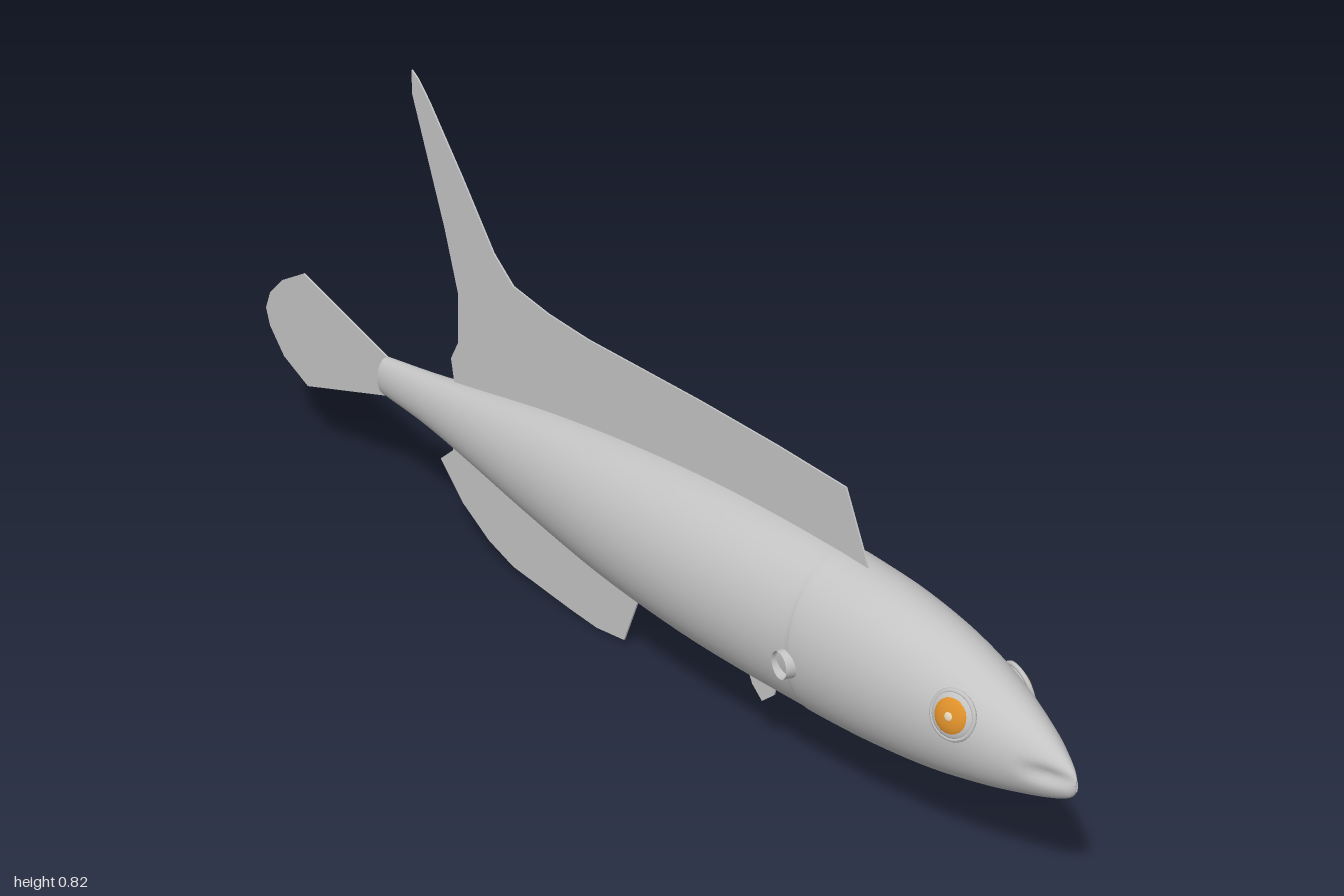
import * as THREE from 'three';

const grey = new THREE.MeshStandardMaterial({ color: 0xc4c4c4, side: THREE.DoubleSide });
grey.name = 'body grey';
const amber = new THREE.MeshStandardMaterial({ color: 0xe0912a });
amber.name = 'iris amber';
const pale = new THREE.MeshStandardMaterial({ color: 0xf0e0c0 });
pale.name = 'pupil pale';

// Body stations: x, top y, bottom y, half width
const STATIONS = [
  [-0.645, 0.278, 0.208, 0.02], [-0.52, 0.294, 0.199, 0.031], [-0.4, 0.313, 0.183, 0.045],
  [-0.2, 0.346, 0.152, 0.071], [0, 0.369, 0.127, 0.094], [0.2, 0.383, 0.114, 0.107],
  [0.36, 0.386, 0.111, 0.108], [0.48, 0.384, 0.111, 0.103], [0.51, 0.383, 0.111, 0.105],
  [0.62, 0.375, 0.116, 0.1], [0.74, 0.354, 0.128, 0.087], [0.84, 0.321, 0.147, 0.068],
  [0.92, 0.284, 0.167, 0.043], [0.965, 0.257, 0.181, 0.025], [0.99, 0.239, 0.193, 0.013],
  [1, 0.226, 0.206, 0.003],
];

// Loft ellipses along x, with a pinched crease for the mouth
function bodyGeometry(rings = 90, sides = 48) {
  const profile = new THREE.CatmullRomCurve3(
    STATIONS.map(([x, t, b]) => new THREE.Vector3(x, t, b)), false, 'catmullrom', 0.5);
  const width = new THREE.CatmullRomCurve3(
    STATIONS.map(([x, , , w]) => new THREE.Vector3(x, w, 0)), false, 'catmullrom', 0.5);
  const pos = [], index = [];
  for (let i = 0; i <= rings; i++) {
    const p = profile.getPoint(i / rings), w = width.getPoint(i / rings).y;
    const cy = (p.y + p.z) / 2, h = (p.y - p.z) / 2;
    for (let j = 0; j < sides; j++) {
      const a = (j / sides) * Math.PI * 2;
      const y = cy + h * Math.sin(a);
      const front = THREE.MathUtils.smoothstep(p.x, 0.91, 0.97);
      const pinch = 1 - 0.4 * front * Math.exp(-(((y - 0.225) / 0.012) ** 2));
      pos.push(p.x, y, w * Math.cos(a) * pinch);
    }
  }
  for (let i = 0; i < rings; i++) {
    for (let j = 0; j < sides; j++) {
      const a = i * sides + j, b = i * sides + (j + 1) % sides;
      index.push(a, a + sides, b, b, a + sides, b + sides);
    }
  }
  // End caps
  for (let j = 1; j < sides - 1; j++) {
    const n = rings * sides;
    index.push(n, n + j, n + j + 1);
  }
  const g = new THREE.BufferGeometry();
  g.setAttribute('position', new THREE.Float32BufferAttribute(pos, 3));
  g.setIndex(index);
  // Wind outward whichever way round the sections run
  const p = (k) => new THREE.Vector3().fromBufferAttribute(g.attributes.position, k);
  const k = 40 * sides;
  const n = p(k + sides).sub(p(k)).cross(p(k + 1).sub(p(k)));
  if (n.z < 0) {
    for (let t = 0; t < index.length; t += 3) [index[t], index[t + 1]] = [index[t + 1], index[t]];
    g.setIndex(index);
  }
  g.computeVertexNormals();
  return g;
}

function add(parent, name, geometry, material) {
  const m = new THREE.Mesh(geometry, material);
  m.name = name;
  parent.add(m);
  return m;
}

// Thin flat fin from an outline in the xy plane
function fin(parent, name, points) {
  const shape = new THREE.Shape(points.map(([x, y]) => new THREE.Vector2(x, y)));
  const g = new THREE.ExtrudeGeometry(shape, { depth: 0.003, bevelEnabled: false });
  return add(parent, name, g.translate(0, 0, -0.0015), grey);
}

export function createModel() {
  const fish = new THREE.Group();
  fish.name = 'fish';
  add(fish, 'body', bodyGeometry(), grey);

  // Narrow tail stump cap
  const stump = add(fish, 'tailStump', new THREE.SphereGeometry(1, 24, 12), grey);
  stump.scale.set(0.004, 0.035, 0.02);
  stump.position.set(-0.643, 0.243, 0);

  fin(fish, 'dorsalFin', [
    [-0.45, 0.29], [-0.46, 0.345], [-0.44, 0.38], [-0.437, 0.47], [-0.47, 0.575], [-0.55, 0.785],
    [-0.55, 0.826], [-0.535, 0.816], [-0.505, 0.785], [-0.42, 0.68], [-0.34, 0.575],
    [-0.29, 0.535], [-0.2, 0.519], [-0.1, 0.511], [0.17, 0.508], [0.35, 0.502],
    [0.505, 0.493], [0.56, 0.375], [0.5, 0.34], [0, 0.33],
  ]);
  fin(fish, 'analFin', [
    [-0.45, 0.21], [-0.46, 0.175], [-0.495, 0.146], [-0.435, 0.086], [-0.365, 0.044],
    [-0.3, 0.022], [-0.15, 0.007], [-0.08, 0.002], [-0.01, 0.01], [0.037, 0.125], [0, 0.17],
  ]);
  fin(fish, 'tailFin', [
    [-0.63, 0.276], [-0.88, 0.35], [-0.945, 0.315], [-0.985, 0.278], [-1, 0.243],
    [-0.99, 0.212], [-0.95, 0.167], [-0.88, 0.135], [-0.63, 0.21],
  ]);

  for (const s of [1, -1]) {
    const side = s > 0 ? 'left' : 'right';

    // Eye: socket rim, eyeball, amber iris and pale pupil, facing out from the head
    const eye = new THREE.Group();
    eye.name = side + 'Eye';
    eye.position.set(0.813, 0.272, s * 0.066);
    eye.lookAt(0.813 + 0.22, 0.272 + 0.25, s * 1.066);
    add(eye, 'eyeRim', new THREE.TorusGeometry(0.036, 0.004, 8, 32), grey);
    const ball = add(eye, 'eyeball', new THREE.SphereGeometry(0.036, 28, 14), grey);
    ball.scale.z = 0.3;
    const iris = add(eye, 'iris', new THREE.SphereGeometry(0.032, 28, 14), amber);
    iris.scale.z = 0.42;
    const pupil = add(eye, 'pupil', new THREE.SphereGeometry(0.007, 16, 8), pale);
    pupil.scale.z = 0.3;
    pupil.position.z = 0.0125;
    fish.add(eye);

    // Round base of the pectoral fin
    const base = add(fish, side + 'PectoralBase',
      new THREE.CylinderGeometry(0.022, 0.024, 0.03, 24, 1, true), grey);
    base.rotation.set(s * Math.PI / 2, 0, s * 0.2);
    base.position.set(0.495, 0.228, s * 0.1);

    // Small pelvic fin stub
    const pelvic = fin(fish, side + 'PelvicFin',
      [[0.345, 0.13], [0.355, 0.11], [0.378, 0.09], [0.405, 0.112], [0.41, 0.13]]);
    pelvic.position.z = s * 0.045;
  }
  return fish;
}
